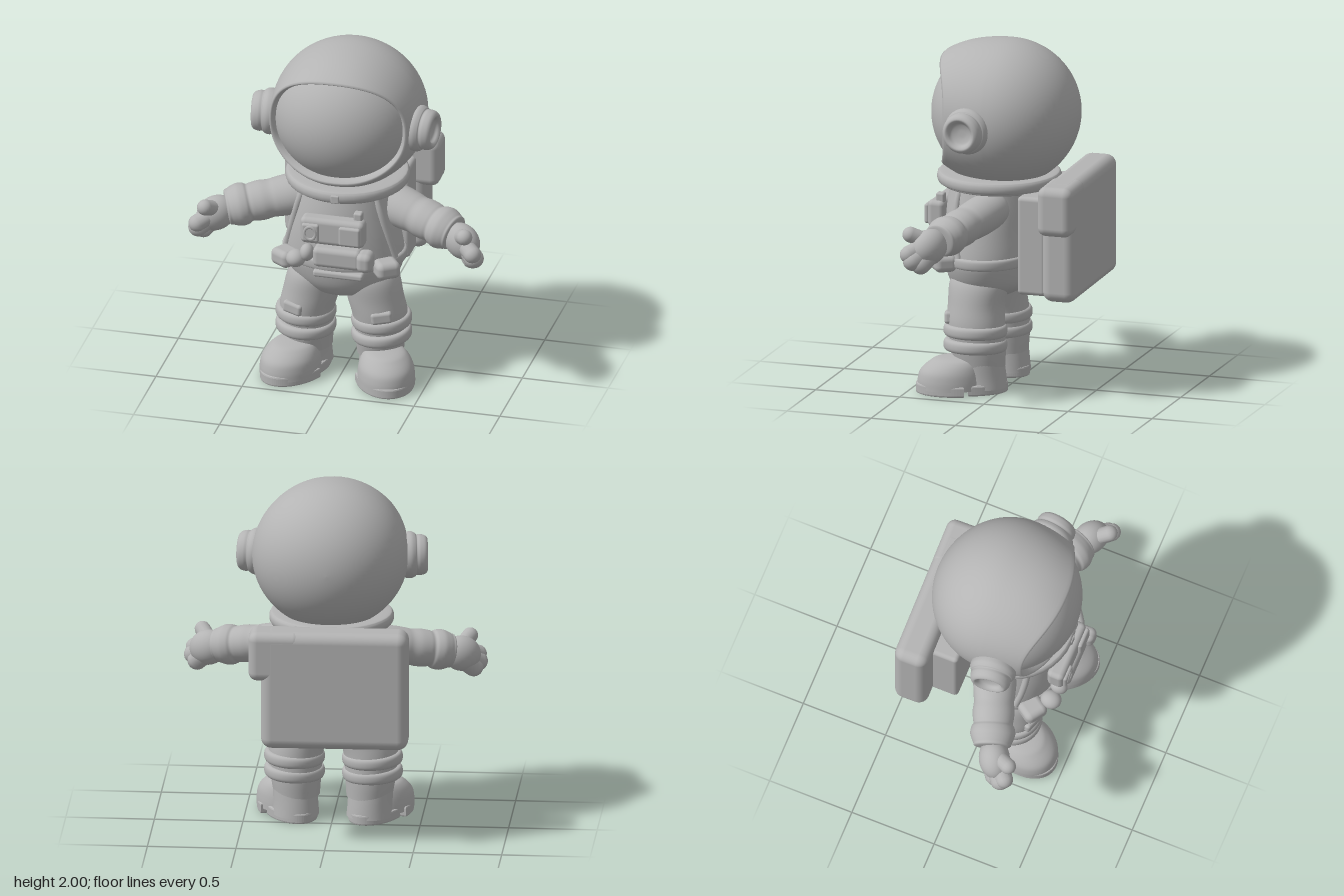
import * as THREE from 'three';
import { RoundedBoxGeometry } from 'three/addons/geometries/RoundedBoxGeometry.js';

const V = (x, y, z) => new THREE.Vector3(x, y, z);

export function createModel() {
  const suit = new THREE.MeshStandardMaterial({ color: 0xb4b4b4 });
  suit.name = 'suit grey';
  const root = new THREE.Group();
  root.name = 'astronaut';

  // ---- helpers ----
  const add = (parent, name, geo, pos = [0, 0, 0], rot = [0, 0, 0], scale = [1, 1, 1]) => {
    const m = new THREE.Mesh(geo, suit);
    m.name = name;
    m.position.set(...pos);
    m.rotation.set(...rot);
    m.scale.set(...scale);
    parent.add(m);
    return m;
  };
  const box = (parent, name, size, pos, r = 0.02, rot) =>
    add(parent, name, new RoundedBoxGeometry(...size, 4, r), pos, rot);
  const ball = (parent, name, radii, pos, rot) =>
    add(parent, name, new THREE.SphereGeometry(1, 32, 20), pos, rot, radii);
  const capsule = (parent, name, a, b, r) => {
    const d = b.clone().sub(a);
    const m = add(parent, name, new THREE.CapsuleGeometry(r, d.length(), 8, 16));
    m.position.copy(a).addScaledVector(d, 0.5);
    m.quaternion.setFromUnitVectors(V(0, 1, 0), d.normalize());
  };
  // closed rings of points joined into a skin
  const loft = (rows, cols, point) => {
    const pos = [], idx = [];
    for (let i = 0; i <= rows; i++)
      for (let j = 0; j < cols; j++) pos.push(...point(i / rows, (j / cols) * Math.PI * 2));
    for (let i = 0; i < rows; i++)
      for (let j = 0; j < cols; j++) {
        const k = (j + 1) % cols, a = i * cols + j, b = i * cols + k, c = a + cols, d = b + cols;
        idx.push(a, c, b, b, c, d);
      }
    const g = new THREE.BufferGeometry();
    g.setAttribute('position', new THREE.Float32BufferAttribute(pos, 3));
    g.setIndex(idx);
    g.computeVertexNormals();
    return g;
  };
  // upright body from sections [y, centre x, centre z, radius x, radius z]
  const stack = (sections) => {
    const mid = new THREE.CatmullRomCurve3(sections.map((s) => V(s[1], s[0], s[2])), false, 'catmullrom');
    const rad = new THREE.CatmullRomCurve3(sections.map((s) => V(s[3], 0, s[4])), false, 'catmullrom');
    return loft((sections.length - 1) * 5, 48, (t, a) => {
      const c = mid.getPoint(t), r = rad.getPoint(t);
      return [c.x + r.x * Math.cos(a), c.y, c.z + r.z * Math.sin(a)];
    });
  };
  const lathe = (pts) => {
    const smooth = new THREE.SplineCurve(pts.map((p) => new THREE.Vector2(...p))).getPoints(pts.length * 5);
    smooth.forEach((p) => { p.x = Math.max(p.x, 0); });
    return new THREE.LatheGeometry(smooth, 36);
  };

  // ---- helmet: round shell ending in a curved visor opening ----
  const cy = 1.58, cz = 0.035, lift = 0.008;
  const oval = (a, rx, ry, n = 2.25) => {
    const f = (v) => Math.sign(v) * Math.abs(v) ** (2 / n);
    return [rx * f(Math.cos(a)), lift - ry * f(Math.sin(a))];
  };
  const visorZ = (x, y) => cz + 0.423 * Math.sqrt(Math.max(0, 1 - (x / 0.43) ** 2 - (y / 0.41) ** 2));
  add(root, 'helmet', loft(44, 72, (t, a) => {
    const ex = 0.009 + 0.441 * Math.cos(a), ey = -0.42 * Math.sin(a);
    if (t <= 0.5) {
      const q = t * Math.PI;
      return [ex * Math.sin(q), cy + ey * Math.sin(q), cz - 0.422 * Math.cos(q)];
    }
    const [rx, ry] = oval(a, 0.397, 0.32);
    const rise = Math.abs(ry / 0.32);
    const rz = 0.283 + 0.105 * rise ** 3;
    if (t <= 0.9) {
      const u = (t - 0.5) / 0.4, w = 1 - u;
      const mix = (p, q, r) => w * w * p + 2 * u * w * q + u * u * r;
      const pull = 0.44 + 0.14 * rise ** 4;
      return [mix(ex, ex, rx), cy + mix(ey, ey, ry), mix(cz, cz + pull * (rz - cz), rz)];
    }
    const [ix, iy] = oval(a, 0.366, 0.285);
    const u = (t - 0.9) / 0.1;
    return [rx + (ix - rx) * u, cy + ry + (iy - ry) * u, rz + (visorZ(ix, iy) - 0.012 - rz) * u * u];
  }));
  add(root, 'visor', loft(20, 72, (t, a) => {
    const [x, y] = oval(a, 0.378 * (1 - t), 0.296 * (1 - t), 2.25 - 0.25 * t);
    return [x, cy + y, visorZ(x, y)];
  }));

  // ---- neck ring ----
  add(root, 'neckRing', lathe([[0.2, -0.05], [0.31, -0.045], [0.33, -0.03], [0.345, -0.025], [0.352, 0],
    [0.345, 0.025], [0.32, 0.035], [0.2, 0.04]]), [0.005, 1.205, 0.075]);
  box(root, 'neckLatch', [0.05, 0.05, 0.02], [0.02, 1.2, 0.42], 0.008);

  // ---- torso and belt ----
  add(root, 'torso', stack([[0.5, 0, 0.14, 0.01, 0.01], [0.53, 0, 0.14, 0.18, 0.14], [0.6, 0, 0.12, 0.285, 0.225],
    [0.7, 0, 0.12, 0.335, 0.255], [0.78, 0, 0.12, 0.34, 0.26], [0.92, 0, 0.125, 0.315, 0.255],
    [1.06, 0, 0.12, 0.28, 0.25], [1.2, 0, 0.11, 0.25, 0.23]]));
  add(root, 'belt', stack([[0.72, 0, 0.12, 0.325, 0.25], [0.73, 0, 0.12, 0.353, 0.268],
    [0.775, 0, 0.12, 0.355, 0.27], [0.79, 0, 0.12, 0.33, 0.255]]));
  box(root, 'buckle', [0.29, 0.04, 0.06], [0.03, 0.71, 0.375], 0.015);
  box(root, 'centrePouch', [0.28, 0.12, 0.12], [0.035, 0.835, 0.395], 0.03);
  box(root, 'beltPouchLeft', [0.09, 0.115, 0.12], [0.2, 0.84, 0.43], 0.035);
  box(root, 'hipPouchLeft', [0.14, 0.1, 0.13], [0.29, 0.75, 0.31], 0.035, [0, 0.6, 0]);
  ball(root, 'beltKnobRight', [0.055, 0.05, 0.06], [-0.215, 0.79, 0.39]);
  ball(root, 'beltCapRight', [0.04, 0.05, 0.05], [-0.145, 0.845, 0.41]);
  box(root, 'hipPouchRight', [0.14, 0.1, 0.13], [-0.295, 0.755, 0.31], 0.035, [0, -0.6, 0]);

  // ---- chest control box ----
  box(root, 'chestBox', [0.37, 0.16, 0.1], [0.005, 0.992, 0.395], 0.03);
  box(root, 'chestButton', [0.1, 0.11, 0.03], [-0.115, 0.99, 0.448], 0.014);
  add(root, 'chestDial', new THREE.TorusGeometry(0.032, 0.009, 8, 24), [-0.115, 0.99, 0.46], [0, 0, 0], [1, 1.2, 1]);
  box(root, 'chestScreen', [0.125, 0.115, 0.03], [0.113, 0.99, 0.452], 0.014);
  box(root, 'chestSwitch', [0.05, 0.06, 0.05], [0.145, 1.085, 0.375], 0.012);

  // ---- backpack ----
  box(root, 'backpackFrame', [0.65, 0.57, 0.17], [-0.015, 0.885, -0.215], 0.025);
  box(root, 'backpack', [0.83, 0.685, 0.2], [-0.05, 0.923, -0.382], 0.06, [0, 0.018, 0]);
  box(root, 'backpackSideLid', [0.3, 0.285, 0.205], [0.285, 1.122, -0.385], 0.05, [0, 0.018, 0]);

  // ---- paired parts, modelled on the left and mirrored ----
  for (const [side, s] of [['left', 1], ['right', -1]]) {
    const half = new THREE.Group();
    half.name = side + 'Side';
    half.scale.x = s;
    root.add(half);

    // ear piece: flange and a rounded, dished cap
    add(half, 'earPiece', lathe([[0.12, -0.06], [0.13, -0.01], [0.132, 0.02], [0.122, 0.042], [0.114, 0.05], [0.116, 0.07],
      [0.108, 0.098], [0.09, 0.112], [0.074, 0.104], [0.06, 0.085], [0.03, 0.074], [0, 0.072]]),
      [0.42, 1.56, 0.125], [0, -0.12, -Math.PI / 2]);

    // harness strap
    const strap = new THREE.CatmullRomCurve3([V(0.2, 1.18, 0.235), V(0.235, 1.08, 0.25), V(0.275, 0.93, 0.24), V(0.315, 0.78, 0.215)]);
    add(half, 'strap', new THREE.TubeGeometry(strap, 24, 0.02, 10));

    // sleeve with folds, then cuff
    const arm = add(half, 'sleeve', lathe([[0, -0.06], [0.08, -0.04], [0.105, 0.02], [0.11, 0.12], [0.106, 0.2],
      [0.102, 0.24], [0.107, 0.29], [0.104, 0.34], [0.1, 0.365], [0.11, 0.385], [0.115, 0.42], [0.108, 0.45],
      [0.098, 0.475], [0.085, 0.495], [0, 0.5]]));
    arm.position.set(0.205, 1.06, 0.05);
    arm.scale.z = 1.12;
    arm.quaternion.setFromUnitVectors(V(0, 1, 0), V(0.43, -0.085, 0.155).normalize());

    // mitten hand
    const hand = new THREE.Group();
    hand.name = 'hand';
    half.add(hand);
    ball(hand, 'palm', [0.115, 0.1, 0.088], [0.715, 0.945, 0.25], [0, -0.5, -0.4]);
    capsule(hand, 'finger', V(0.72, 0.92, 0.23), V(0.78, 0.858, 0.28), 0.056);
    capsule(hand, 'finger', V(0.73, 0.93, 0.26), V(0.802, 0.88, 0.32), 0.056);
    capsule(hand, 'finger', V(0.73, 0.95, 0.28), V(0.8, 0.915, 0.345), 0.05);
    capsule(hand, 'thumb', V(0.7, 0.97, 0.25), V(0.755, 1.02, 0.35), 0.045);

    // trouser leg, knee patch and padded bands
    add(half, 'leg', stack([[0.14, 0.205, 0.12, 0.13, 0.14], [0.24, 0.21, 0.13, 0.142, 0.155], [0.38, 0.212, 0.145, 0.155, 0.165],
      [0.5, 0.185, 0.15, 0.16, 0.162], [0.62, 0.16, 0.14, 0.155, 0.17], [0.7, 0.14, 0.13, 0.12, 0.14]]));
    for (const [y, r] of [[0.355, 0.17], [0.27, 0.17]])
      add(half, 'legBand', lathe([[0.13, -0.036], [r - 0.012, -0.032], [r, -0.015], [r, 0.015], [r - 0.012, 0.032], [0.13, 0.036]]),
        [0.22, y, 0.145], [0, 0, 0.04], [1, 1, 1.06]);
    box(half, 'kneePatch', [0.12, 0.07, 0.06], [0.255, 0.425, 0.285], 0.018, [0, 0.3, 0.12]);

    // boot turned outward: shaft, toe cap and split sole
    const boot = new THREE.Group();
    boot.name = 'boot';
    boot.position.set(0.208, 0, 0.1);
    boot.rotation.y = 0.4;
    half.add(boot);
    add(boot, 'bootShaft', stack([[0.03, 0, 0, 0.13, 0.135], [0.1, 0, 0.005, 0.126, 0.132], [0.2, 0, 0.015, 0.126, 0.128]]));
    add(boot, 'toeCap', stack([[0.03, 0, 0.18, 0.163, 0.195], [0.08, 0, 0.18, 0.161, 0.192], [0.13, 0, 0.175, 0.152, 0.18],
      [0.175, 0, 0.155, 0.127, 0.15], [0.2, 0, 0.14, 0.09, 0.115], [0.213, 0, 0.125, 0.005, 0.005]]));
    // half-oval sole pieces, leaving a gap at the arch
    const sole = (name, rx, rz, from, z0) => {
      const shape = new THREE.Shape();
      shape.absellipse(0, 0, rx, rz, from, from + Math.PI, false);
      const g = new THREE.ExtrudeGeometry(shape, { depth: 0.04, bevelEnabled: true, bevelThickness: 0.01,
        bevelSize: 0.008, bevelSegments: 2, curveSegments: 24 });
      add(boot, name, g, [0, 0.05, z0], [Math.PI / 2, 0, 0]);
    };
    sole('toeSole', 0.16, 0.245, 0, 0.13);
    sole('heelSole', 0.132, 0.22, Math.PI, 0.09);
  }
  return root;
}
